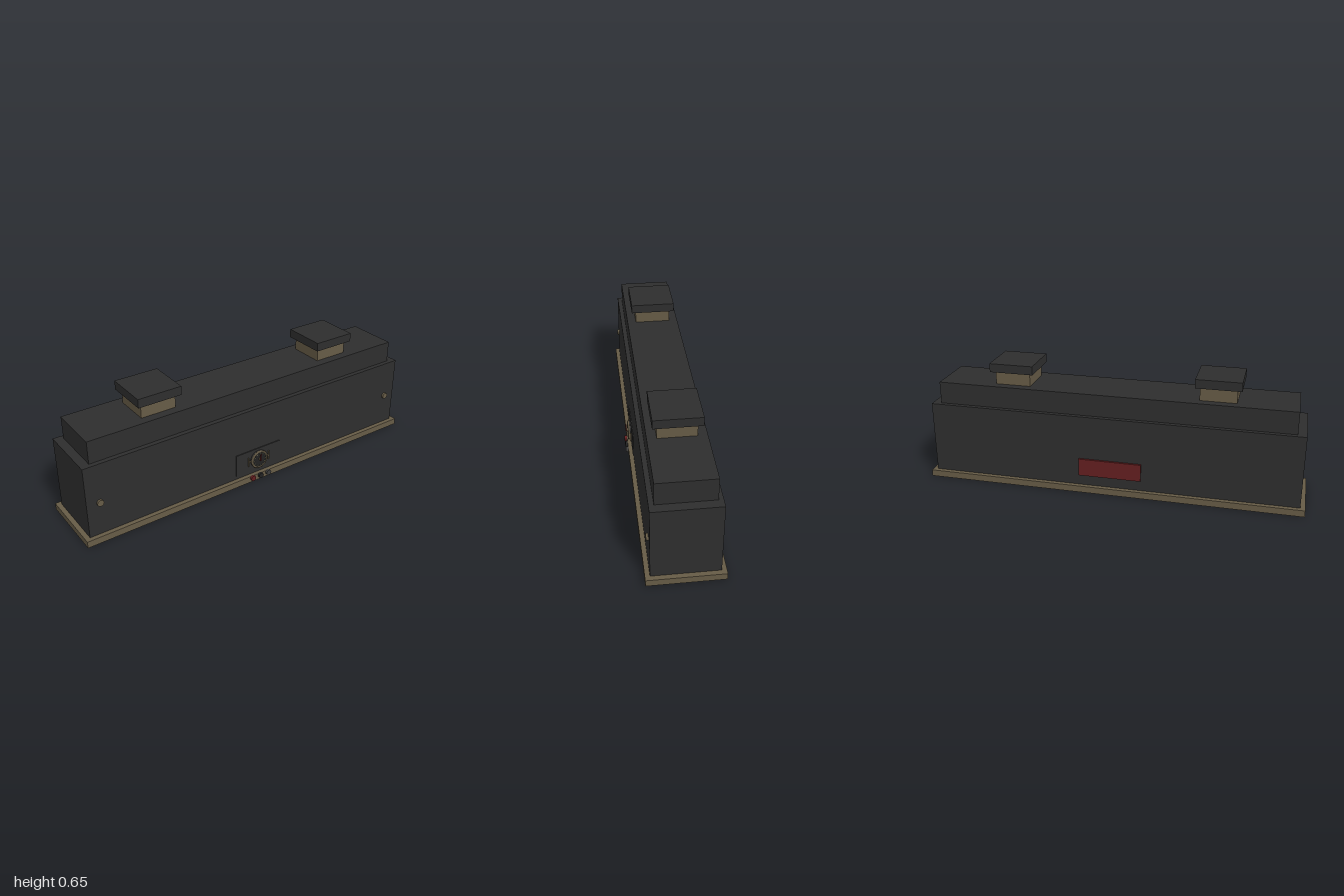
import * as THREE from 'three';

const paint = (name, color) => {
  const m = new THREE.MeshStandardMaterial({ color });
  m.name = name;
  return m;
};

export function createModel() {
  const charcoal = paint('charcoal', 0x2e2e2e);
  const bronze = paint('bronze', 0x665b46);
  const red = paint('dark red', 0x641f20);
  const dark = paint('black', 0x222222);
  const grey = paint('grey', 0x3c3c3c);
  const pale = paint('pale brass', 0x77765c);

  const model = new THREE.Group();
  model.name = 'cabinet';

  const add = (name, geometry, material, x, y, z, parent = model) => {
    const mesh = new THREE.Mesh(geometry, material);
    mesh.name = name;
    mesh.position.set(x, y, z);
    parent.add(mesh);
    return mesh;
  };
  // Box from its width and its y and z limits
  const slab = (name, material, x, width, y0, y1, z0, z1, parent) =>
    add(name, new THREE.BoxGeometry(width, y1 - y0, z1 - z0), material,
      x, (y0 + y1) / 2, (z0 + z1) / 2, parent);
  // Disc facing the front
  const disc = (name, material, radius, x, y, z0, z1, sides = 24, parent = model) =>
    add(name, new THREE.CylinderGeometry(radius, radius, z1 - z0, sides).rotateX(Math.PI / 2),
      material, x, y, (z0 + z1) / 2, parent);

  // Stepped body
  slab('base', bronze, 0, 2, 0, 0.035, -0.192, 0.18);
  slab('body', charcoal, 0, 1.95, 0.035, 0.418, -0.168, 0.157);
  slab('upperBody', charcoal, 0, 1.86, 0.418, 0.535, -0.145, 0.133);

  // Two capped chimneys and two front studs
  for (const side of [-1, 1]) {
    slab('neck', bronze, side * 0.535, 0.186, 0.535, 0.605, -0.099, 0.087);
    slab('cap', charcoal, side * 0.535, 0.232, 0.605, 0.651, -0.122, 0.11);
    disc('stud', bronze, 0.017, side * 0.907, 0.212, 0.157, 0.168, 12);
  }

  // Rear plate
  slab('rearPlate', red, 0, 0.33, 0.094, 0.187, -0.183, -0.172);

  // Gauge on its mounting panel
  const gauge = new THREE.Group();
  gauge.name = 'gauge';
  model.add(gauge);
  const gy = 0.118;
  slab('panel', charcoal, 0, 0.28, 0.055, 0.18, 0.157, 0.162, gauge);
  disc('housing', charcoal, 0.05, 0, gy, 0.162, 0.172, 32, gauge);
  disc('face', dark, 0.044, 0, gy, 0.172, 0.176, 32, gauge);
  add('rim', new THREE.TorusGeometry(0.046, 0.0055, 8, 32), bronze, 0, gy, 0.173, gauge);
  for (let i = 0; i < 12; i++) {
    const a = (i / 12) * Math.PI * 2;
    const tick = add('tick', new THREE.BoxGeometry(0.008, 0.003, 0.003), pale,
      Math.cos(a) * 0.036, gy + Math.sin(a) * 0.036, 0.177, gauge);
    tick.rotation.z = a;
  }
  disc('hub', bronze, 0.008, 0, gy + 0.004, 0.176, 0.183, 12, gauge);
  slab('needle', red, 0, 0.006, 0.114, 0.153, 0.183, 0.188, gauge);
  for (const side of [-1, 1]) {
    slab('bracket', bronze, side * 0.065, 0.004, gy - 0.026, gy + 0.026, 0.162, 0.17, gauge);
    slab('bracketArm', bronze, side * 0.058, 0.014, gy - 0.003, gy + 0.003, 0.162, 0.17, gauge);
  }

  // Row of buttons
  [red, dark, grey].forEach((material, i) =>
    disc('button', material, 0.015, (i - 1) * 0.05, 0.025, 0.18, 0.193, 16));

  return model;
}
